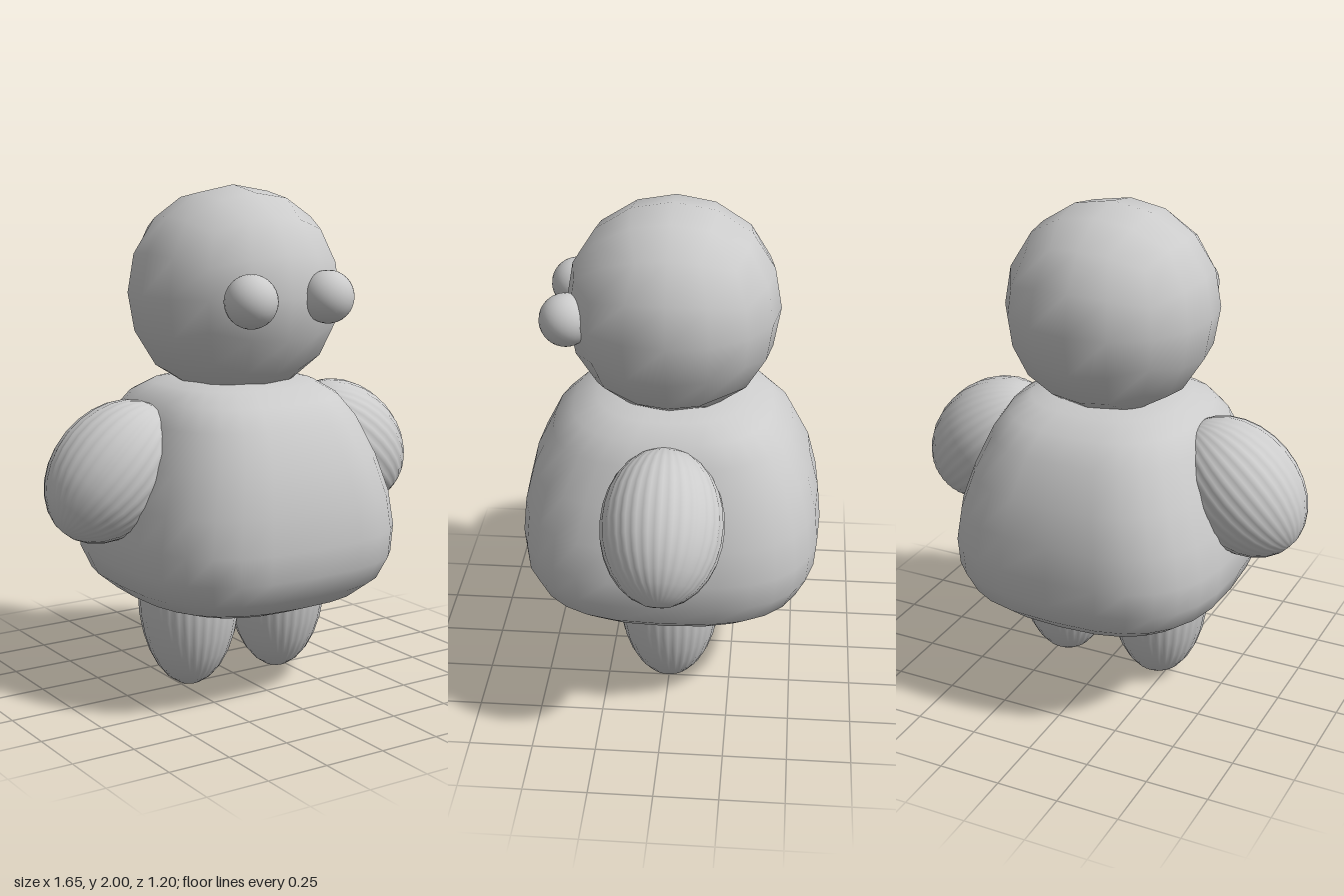
import * as THREE from 'three';

const material = new THREE.MeshStandardMaterial({ color: 0xcccccc });

function add(parent, name, geometry, x = 0, y = 0, z = 0) {
  const mesh = new THREE.Mesh(geometry, material);
  mesh.name = name;
  mesh.position.set(x, y, z);
  parent.add(mesh);
  return mesh;
}

// Coarse ball made by rounding a subdivided cube, very slightly fuller at its edges
function cubeBall(radius) {
  const geometry = new THREE.BoxGeometry(2, 2, 2, 4, 4, 4);
  const pos = geometry.attributes.position;
  const normal = geometry.attributes.normal;
  const v = new THREE.Vector3();
  for (let i = 0; i < pos.count; i++) {
    v.fromBufferAttribute(pos, i);
    v.set(...v.toArray().map((c) => Math.tan((c * Math.PI) / 4))).normalize();
    normal.setXYZ(i, v.x, v.y, v.z);
    const fullness = 1 - (v.x ** 4 + v.y ** 4 + v.z ** 4);
    v.multiplyScalar(radius * (1 + 0.04 * fullness));
    pos.setXYZ(i, v.x, v.y, v.z);
  }
  return geometry;
}

// Closed skin over rounded-square rings: [y, half width, half depth, squareness]
function ringBody(rings, sides) {
  const points = [];
  const index = [];
  const power = (c, n) => Math.sign(c) * Math.abs(c) ** (2 / n);
  for (const [y, hx, hz, n] of rings) {
    for (let i = 0; i < sides; i++) {
      const a = (i / sides) * Math.PI * 2;
      points.push(hx * power(Math.sin(a), n), y, hz * power(Math.cos(a), n));
    }
  }
  for (let r = 0; r < rings.length - 1; r++) {
    for (let i = 0; i < sides; i++) {
      const a = r * sides + i;
      const b = r * sides + ((i + 1) % sides);
      index.push(a, b, b + sides, a, b + sides, a + sides);
    }
  }
  // Caps
  const bottom = points.length / 3;
  const last = (rings.length - 1) * sides;
  points.push(0, rings[0][0] - 0.005, 0, 0, rings[rings.length - 1][0] + 0.004, 0);
  for (let i = 0; i < sides; i++) {
    const j = (i + 1) % sides;
    index.push(bottom, j, i, bottom + 1, last + i, last + j);
  }
  const geometry = new THREE.BufferGeometry();
  geometry.setAttribute('position', new THREE.Float32BufferAttribute(points, 3));
  geometry.setIndex(index);
  geometry.computeVertexNormals();
  return geometry;
}

// Ellipsoid with fine lengthwise ribs running between its poles
function ribbedEllipsoid(radius, halfLength) {
  const ribs = 32;
  const geometry = new THREE.SphereGeometry(1, ribs * 4, 14);
  const pos = geometry.attributes.position;
  const uv = geometry.attributes.uv;
  for (let i = 0; i < pos.count; i++) {
    const ripple = 1 - 0.02 * (0.5 - 0.5 * Math.cos(uv.getX(i) * ribs * Math.PI * 2));
    const r = radius * ripple;
    pos.setXYZ(i, pos.getX(i) * r, pos.getY(i) * halfLength, pos.getZ(i) * r);
  }
  geometry.computeVertexNormals();
  return geometry;
}

export function createModel() {
  const model = new THREE.Group();
  model.name = 'roundFigure';

  // Torso
  add(model, 'body', ringBody([
    [0.34, 0.2, 0.2, 2.3],
    [0.357, 0.36, 0.37, 2.5],
    [0.4, 0.46, 0.48, 2.7],
    [0.46, 0.53, 0.55, 2.8],
    [0.55, 0.565, 0.59, 2.9],
    [0.66, 0.572, 0.6, 2.9],
    [0.8, 0.548, 0.587, 2.9],
    [0.95, 0.498, 0.55, 2.8],
    [1.1, 0.435, 0.475, 2.7],
    [1.18, 0.385, 0.395, 2.6],
    [1.23, 0.31, 0.3, 2.5],
    [1.25, 0.2, 0.19, 2.3],
  ], 28));

  // Head
  add(model, 'head', cubeBall(0.415), 0, 1.585, 0);

  // Mirrored eyes, arms and legs
  const eye = new THREE.SphereGeometry(0.102, 24, 16);
  const arm = ribbedEllipsoid(0.236, 0.305);
  const leg = ribbedEllipsoid(0.207, 0.395);
  for (const [side, s] of [['left', 1], ['right', -1]]) {
    add(model, side + 'Eye', eye, s * 0.175, 1.585, 0.395);
    add(model, side + 'Arm', arm, s * 0.551, 0.919, 0).rotation.z = (s * Math.PI) / 4;
    add(model, side + 'Leg', leg, s * 0.212, 0.395, 0);
  }
  return model;
}
